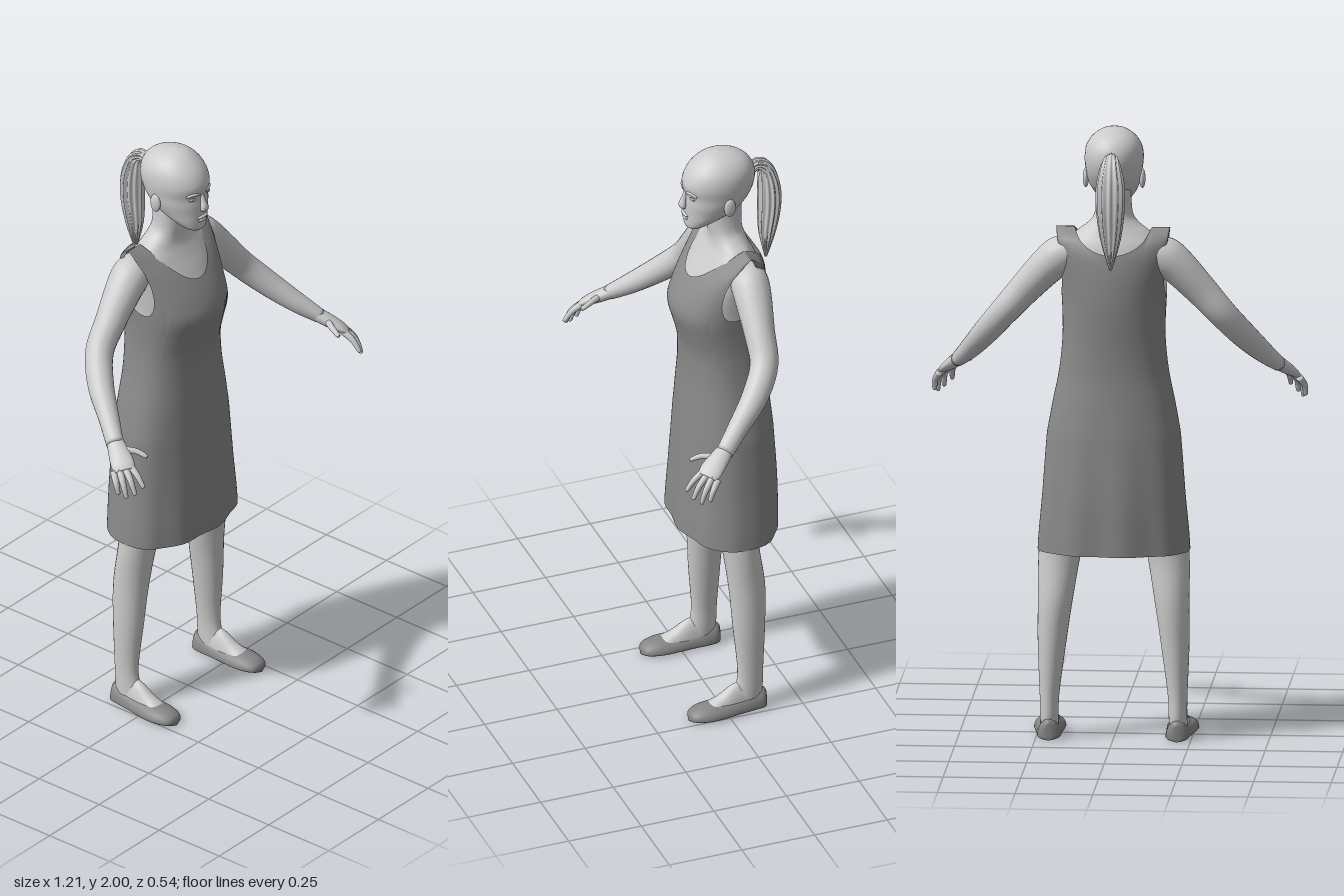
import * as THREE from 'three';

const V = (x, y, z) => new THREE.Vector3(x, y, z);
const mat = (name, color, side = THREE.FrontSide) => {
  const m = new THREE.MeshStandardMaterial({ color, side });
  m.name = name;
  return m;
};

// Catmull-Rom blend of number rows, at t counted in rows
function blend(rows, t) {
  const n = rows.length - 1, i = Math.min(Math.floor(t), n - 1), f = t - i;
  const at = k => rows[Math.max(0, Math.min(n, k))];
  const [a, b, c, d] = [at(i - 1), at(i), at(i + 1), at(i + 2)];
  return b.map((p, k) => p + 0.5 * f * (c[k] - a[k] + f * (2 * a[k] - 5 * p + 4 * c[k] - d[k]
    + f * (3 * (p - c[k]) + d[k] - a[k]))));
}
const refine = (rows, steps) => Array.from({ length: (rows.length - 1) * steps + 1 },
  (_, k) => blend(rows, k / steps));

// Skin over closed rings of points, with optional end caps
function loft(rings, caps = true) {
  const n = rings[0].length, pos = [], idx = [];
  rings.forEach(r => r.forEach(p => pos.push(p.x, p.y, p.z)));
  for (let i = 0; i < rings.length - 1; i++) for (let j = 0; j < n; j++) {
    const a = i * n + j, b = i * n + (j + 1) % n;
    idx.push(a, a + n, b, b, a + n, b + n);
  }
  if (caps) [0, rings.length - 1].forEach(i => {
    const c = V(0, 0, 0), ci = pos.length / 3;
    rings[i].forEach(p => c.addScaledVector(p, 1 / n));
    pos.push(c.x, c.y, c.z);
    for (let j = 0; j < n; j++) {
      const a = i * n + j, b = i * n + (j + 1) % n;
      idx.push(ci, ...(i ? [b, a] : [a, b]));
    }
  });
  const g = new THREE.BufferGeometry();
  g.setAttribute('position', new THREE.Float32BufferAttribute(pos, 3));
  g.setIndex(idx);
  g.computeVertexNormals();
  return g;
}
const ring = (n, fn) => Array.from({ length: n }, (_, j) => fn(j / n * Math.PI * 2));

// Point on a level oval with separate front and back depth
function ovalPoint(a, x, y, w, front, back, pow = 1) {
  const s = Math.sin(a), mid = (front + back) / 2;
  return V(x + w * Math.cos(a), y, mid + Math.sign(s) * Math.abs(s) ** pow * (front - back) / 2);
}
// Rows: x, y, halfWidth, front z, back z (bottom to top)
const body = (rows, pow = 1, n = 40) =>
  loft(refine(rows, 5).map(r => ring(n, a => ovalPoint(a, ...r, pow))));

// Rows: x, y, z, radius along side, radius across
function limb(rows, side, n = 20, ridge = () => 1) {
  const pts = refine(rows, 5), P = pts.map(r => V(r[0], r[1], r[2]));
  return loft(pts.map((r, i) => {
    const d = P[Math.min(i + 1, P.length - 1)].clone().sub(P[Math.max(i - 1, 0)]).normalize();
    const e1 = side.clone().addScaledVector(d, -side.dot(d)).normalize();
    const e2 = e1.clone().cross(d);
    return ring(n, a => P[i].clone().addScaledVector(e1, r[3] * Math.cos(a) * ridge(a))
      .addScaledVector(e2, r[4] * Math.sin(a) * ridge(a)));
  }));
}

function mirrored(g) {
  const m = g.clone().scale(-1, 1, 1), ix = m.index;
  for (let i = 0; i < ix.count; i += 3) {
    const b = ix.getX(i + 1);
    ix.setX(i + 1, ix.getX(i + 2));
    ix.setX(i + 2, b);
  }
  m.computeVertexNormals();
  return m;
}
const blob = (x, y, z, rx, ry, rz) => new THREE.SphereGeometry(1, 20, 14).scale(rx, ry, rz).translate(x, y, z);

// Sleeveless dress: every column climbs from the hem to the neckline, strap or armhole
function dressGeometry() {
  const rows = [[0.62, 0.245, 0.097, -0.227], [0.8, 0.23, 0.088, -0.227], [1.0, 0.215, 0.077, -0.217],
    [1.1, 0.197, 0.072, -0.208], [1.2, 0.177, 0.068, -0.2], [1.3, 0.166, 0.072, -0.2],
    [1.37, 0.165, 0.09, -0.203], [1.44, 0.168, 0.106, -0.205], [1.5, 0.172, 0.085, -0.203],
    [1.55, 0.18, 0.055, -0.198], [1.6, 0.19, 0.018, -0.188], [1.64, 0.203, -0.025, -0.168],
    [1.66, 0.208, -0.05, -0.145], [1.68, 0.212, -0.095, -0.1]];
  const top = 1.68, neck = 0.56, armSin = 0.475;
  const bowl = t => 1 - Math.sqrt(Math.max(0, 1 - t * t));
  const edge = a => {
    const c = Math.abs(Math.cos(a)), s = Math.sin(a);
    if (c < neck) { const low = s > 0 ? 1.555 : 1.6; return low + (top - low) * bowl(c / neck); }
    if (Math.abs(s) < armSin) return 1.45 + (top - 1.45) * bowl(Math.abs(s) / armSin);
    return top;
  };
  const point = (a, f) => {
    const y = 0.62 + f * (edge(a) - 0.62);
    let i = 0;
    while (i < rows.length - 2 && rows[i + 1][0] < y) i++;
    const t = (y - rows[i][0]) / (rows[i + 1][0] - rows[i][0]);
    const [, w, front, back] = blend(rows, i + Math.min(1, t));
    const p = ovalPoint(a, 0, y, w, front, back, 0.8);
    // soft folds in the skirt
    p.z += 0.005 * Math.cos(9 * a) * Math.max(0, (1.1 - y) / 0.48) * Math.abs(Math.sin(a));
    return p;
  };
  return loft(Array.from({ length: 61 }, (_, k) => ring(120, a => point(a, k / 60))), false);
}

export function createModel() {
  const model = new THREE.Group();
  model.name = 'standingWoman';
  const skin = mat('skin', 0xcccccc), cloth = mat('dressCloth', 0x8a8a8a, THREE.DoubleSide);
  const shoeMat = mat('shoeLeather', 0x868686), eyeMat = mat('eyes', 0x999999);
  const add = (name, g, m = skin) => {
    const mesh = new THREE.Mesh(g, m);
    mesh.name = name;
    model.add(mesh);
  };
  const pair = (name, g, m) => {
    add('left' + name, g, m);
    add('right' + name, mirrored(g), m);
  };

  add('dress', dressGeometry(), cloth);

  // Torso and neck
  add('torso', body([[0, 0.9, 0.17, 0.05, -0.17], [0, 1.2, 0.15, 0.04, -0.17], [0, 1.4, 0.145, 0.06, -0.18],
    [0, 1.5, 0.152, 0.062, -0.188], [0, 1.56, 0.16, 0.035, -0.182], [0, 1.62, 0.16, 0, -0.166],
    [0, 1.66, 0.122, -0.02, -0.148], [0, 1.69, 0.083, -0.024, -0.137], [0, 1.72, 0.062, -0.02, -0.13],
    [0, 1.78, 0.056, -0.015, -0.13], [0, 1.84, 0.056, -0.015, -0.13]], 0.9));

  // Head and face
  add('head', body([[0, 1.733, 0.018, 0.05, 0.02], [0, 1.745, 0.04, 0.06, -0.005], [0, 1.77, 0.061, 0.062, -0.06],
    [0, 1.8, 0.076, 0.062, -0.12], [0, 1.83, 0.086, 0.062, -0.147], [0, 1.86, 0.091, 0.06, -0.165],
    [0, 1.9, 0.095, 0.066, -0.175], [0, 1.94, 0.089, 0.05, -0.168], [0, 1.972, 0.068, 0.02, -0.143],
    [0, 1.992, 0.037, -0.012, -0.1], [0, 2.0, 0.002, -0.05, -0.054]], 0.95));
  add('nose', limb([[0, 1.872, 0.056, 0.007, 0.006], [0, 1.845, 0.063, 0.009, 0.01],
    [0, 1.822, 0.069, 0.016, 0.012], [0, 1.812, 0.064, 0.012, 0.006]], V(1, 0, 0)));
  add('upperLip', blob(0, 1.787, 0.06, 0.024, 0.006, 0.009));
  add('lowerLip', blob(0, 1.776, 0.059, 0.02, 0.006, 0.009));
  pair('Ear', blob(0.091, 1.832, -0.06, 0.01, 0.032, 0.02).rotateY(0));
  pair('Eye', blob(0.035, 1.86, 0.048, 0.016, 0.006, 0.008), eyeMat);
  pair('Brow', limb([[0.014, 1.873, 0.06, 0.004, 0.004], [0.035, 1.88, 0.055, 0.006, 0.006],
    [0.058, 1.874, 0.042, 0.003, 0.003]], V(0, 1, 0), 12));

  // Ponytail with ridged strands
  add('ponytail', limb([[0, 1.895, -0.155, 0.018, 0.018], [0, 1.918, -0.186, 0.02, 0.018],
    [0, 1.9, -0.215, 0.03, 0.022], [0, 1.84, -0.228, 0.042, 0.032], [0, 1.76, -0.23, 0.042, 0.034],
    [0, 1.66, -0.222, 0.03, 0.026], [0, 1.56, -0.218, 0.004, 0.004]], V(1, 0, 0), 72,
  a => 1 + 0.1 * Math.cos(12 * a)));

  // Arms
  pair('Arm', limb([[0.12, 1.6, -0.1, 0.055, 0.05], [0.165, 1.585, -0.098, 0.062, 0.064],
    [0.21, 1.55, -0.094, 0.06, 0.06], [0.285, 1.47, -0.086, 0.05, 0.052], [0.355, 1.39, -0.075, 0.046, 0.046],
    [0.415, 1.315, -0.02, 0.043, 0.042], [0.47, 1.245, 0.06, 0.034, 0.034],
    [0.515, 1.195, 0.122, 0.029, 0.024]], V(0, 0, 1)));

  // Hands
  const across = V(0.045, -0.015, -0.038);
  pair('Palm', limb([[0.505, 1.205, 0.11, 0.026, 0.023], [0.53, 1.18, 0.15, 0.034, 0.021],
    [0.55, 1.16, 0.182, 0.038, 0.016], [0.562, 1.146, 0.2, 0.033, 0.01]], across));
  const fingers = {
    Thumb: [[0.522, 1.187, 0.145], [0.495, 1.186, 0.19], [0.484, 1.174, 0.226]],
    IndexFinger: [[0.537, 1.158, 0.2], [0.543, 1.135, 0.237], [0.545, 1.103, 0.264]],
    MiddleFinger: [[0.553, 1.152, 0.195], [0.567, 1.122, 0.23], [0.57, 1.083, 0.25]],
    RingFinger: [[0.568, 1.146, 0.185], [0.585, 1.112, 0.214], [0.588, 1.072, 0.229]],
    LittleFinger: [[0.579, 1.14, 0.17], [0.595, 1.11, 0.193], [0.597, 1.079, 0.203]],
  };
  for (const [name, [a, b, c]] of Object.entries(fingers)) {
    const tip = c.map((v, k) => v + (c[k] - b[k]) * 0.08);
    pair(name, limb([[...a, 0.012, 0.012], [...b, 0.01, 0.01], [...c, 0.007, 0.007], [...tip, 0.002, 0.002]],
      across, 10));
  }

  // Legs
  pair('Leg', body([[0.1, 1.0, 0.09, 0.03, -0.14], [0.135, 0.8, 0.084, 0.025, -0.135],
    [0.172, 0.62, 0.07, 0.0, -0.122], [0.188, 0.45, 0.056, -0.02, -0.14], [0.199, 0.3, 0.045, -0.03, -0.136],
    [0.206, 0.15, 0.032, -0.042, -0.128], [0.207, 0.08, 0.03, -0.034, -0.126],
    [0.207, 0.03, 0.03, -0.02, -0.12]].reverse(), 1, 28));

  // Feet and flat shoes, rows: x, z, halfWidth, height (toe to heel)
  const foot = rows => loft(refine(rows, 5).map(([x, z, w, h]) => ring(28, a => {
    const s = Math.sin(a), sole = Math.min(0.012, h / 2);
    return V(x + w * Math.cos(a), sole + (s > 0 ? (h - sole) * s : sole * s), z);
  })));
  pair('Foot', foot([[0.213, 0.09, 0.025, 0.03], [0.212, 0.055, 0.04, 0.05], [0.21, 0.02, 0.036, 0.068],
    [0.208, -0.03, 0.033, 0.1], [0.207, -0.08, 0.03, 0.1], [0.207, -0.12, 0.024, 0.08]]));
  pair('Shoe', foot([[0.214, 0.13, 0.006, 0.016], [0.214, 0.122, 0.03, 0.03], [0.214, 0.1, 0.044, 0.041],
    [0.214, 0.065, 0.051, 0.048], [0.213, 0.02, 0.05, 0.05], [0.21, -0.04, 0.043, 0.054],
    [0.207, -0.09, 0.039, 0.064], [0.207, -0.125, 0.033, 0.068], [0.207, -0.138, 0.012, 0.055]]), shoeMat);

  return model;
}
